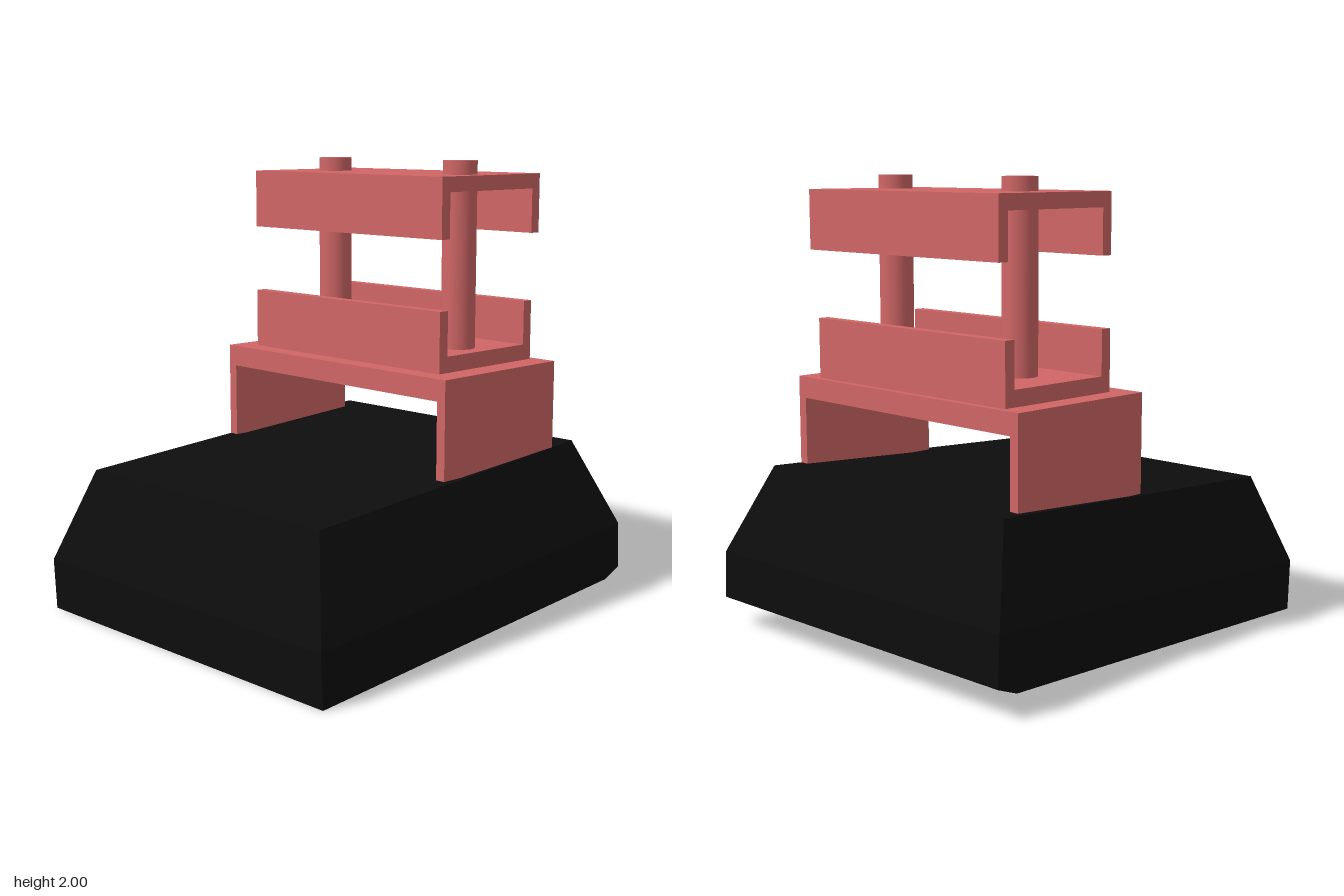
import * as THREE from 'three';
import { ConvexGeometry } from 'three/addons/geometries/ConvexGeometry.js';

const red = new THREE.MeshStandardMaterial({ color: 0xd06666 });
const black = new THREE.MeshStandardMaterial({ color: 0x0d0d0d });

// U-shaped profile: a web at height `from`, walls reaching to height `to` (up or down)
function channelGeometry(a, b, from, to, wall, web, depth) {
  const inner = from + Math.sign(to - from) * web;
  const shape = new THREE.Shape([
    [a, from], [b, from], [b, to], [b - wall, to],
    [b - wall, inner], [a + wall, inner], [a + wall, to], [a, to],
  ].map(([x, y]) => new THREE.Vector2(x, y)));
  return new THREE.ExtrudeGeometry(shape, { depth, bevelEnabled: false });
}

export function createModel() {
  const model = new THREE.Group();
  model.name = 'clampOnBase';
  const add = (name, geometry, material, x = 0, y = 0, z = 0) => {
    const mesh = new THREE.Mesh(geometry, material);
    mesh.name = name;
    mesh.position.set(x, y, z);
    model.add(mesh);
  };

  // Tilted, slightly turned base block with sloping sides and a chamfered rear edge
  const corners = [
    [-0.82, 0, 0.99], [0.875, 0, 0.94], [0.82, 0.09, -0.9], [-0.88, 0.09, -0.85],
    [0.82, 0.13, -1], [-0.88, 0.13, -0.95],
    [-0.82, 0.23, 1], [0.875, 0.225, 0.95], [0.82, 0.34, -0.99], [-0.88, 0.34, -0.94],
    [-0.7, 0.635, 0.84], [0.71, 0.635, 0.8], [0.66, 0.73, -0.83], [-0.75, 0.73, -0.79],
  ];
  add('base', new ConvexGeometry(corners.map((p) => new THREE.Vector3(...p))), black);

  // Bridge standing on the base, open to front and back
  add('bridge', channelGeometry(-0.715, 0.665, 1.115, 0.685, 0.045, 0.095, 0.725), red, 0, 0, -0.68);

  // Two facing channels, open at their left and right ends
  const alongX = (geometry) => geometry.rotateY(-Math.PI / 2);
  add('lowerChannel', alongX(channelGeometry(-0.65, -0.045, 1.115, 1.38, 0.05, 0.07, 1.165)), red, 0.55);
  add('upperChannel', alongX(channelGeometry(-0.685, -0.045, 1.94, 1.68, 0.05, 0.065, 1.17)), red, 0.555);

  // Posts through both channels
  for (const [name, x] of [['rightPost', -0.37], ['leftPost', 0.405]]) {
    add(name, new THREE.CylinderGeometry(0.075, 0.075, 0.85, 40), red, x, 1.575, -0.325);
  }
  return model;
}
